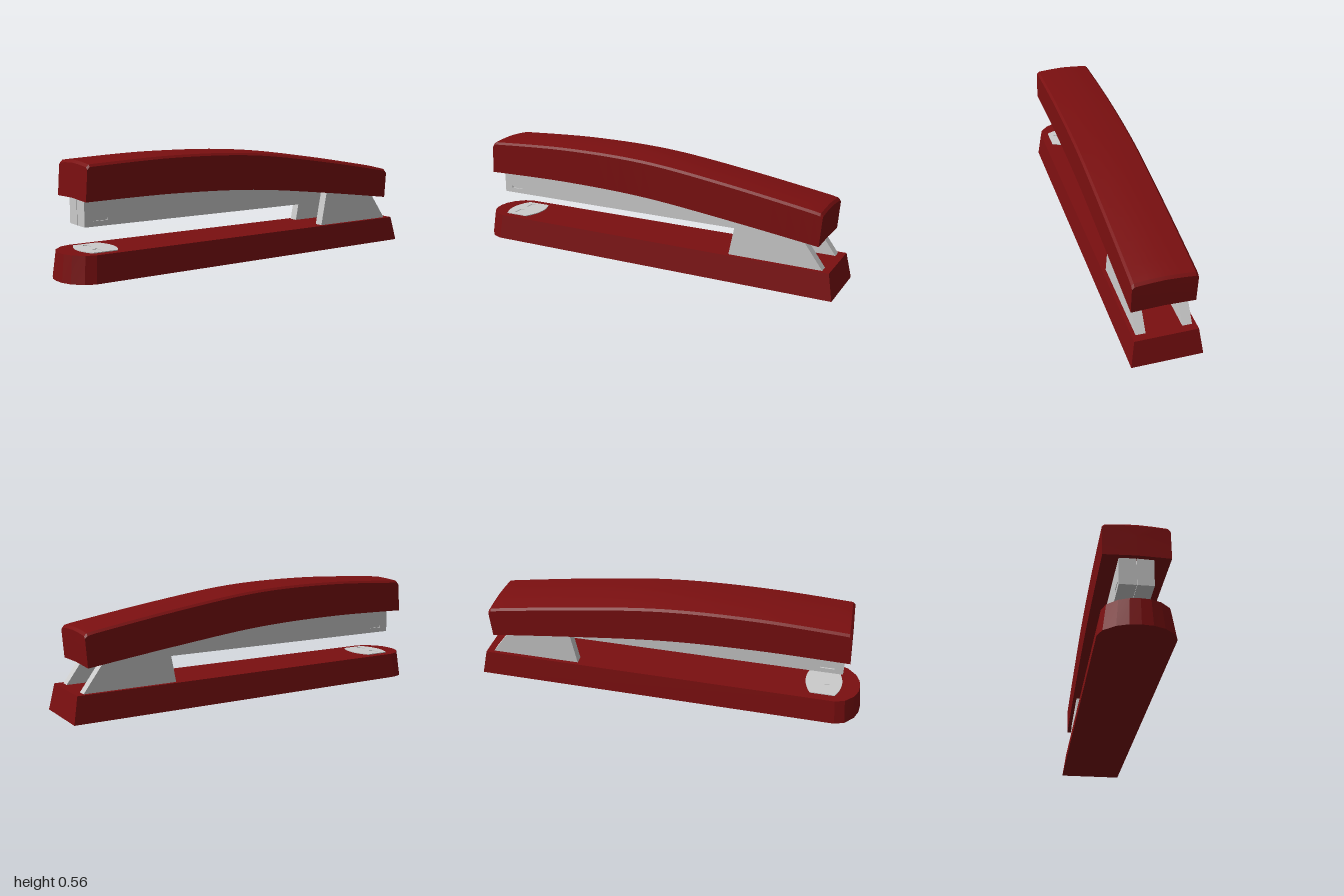
import * as THREE from 'three';
import { toCreasedNormals } from 'three/addons/utils/BufferGeometryUtils.js';

const red = new THREE.MeshStandardMaterial({ color: 0x7a0f10 });
const grey = new THREE.MeshStandardMaterial({ color: 0xcccccc });

function part(name, geometry, material) {
  const mesh = new THREE.Mesh(geometry, material);
  mesh.name = name;
  return mesh;
}

// Skin over equal rings of [x, y, z] points, closed with fan caps.
function loft(rings, crease) {
  const n = rings[0].length;
  const points = rings.flat();
  const index = [];
  for (let i = 0; i < rings.length - 1; i++) {
    for (let j = 0; j < n; j++) {
      const k = (j + 1) % n;
      const a = i * n + j, b = i * n + k;
      index.push(a, b, b + n, a, b + n, a + n);
    }
  }
  [0, rings.length - 1].forEach((r, end) => {
    const centre = points.length;
    points.push([0, 1, 2].map((c) => rings[r].reduce((s, p) => s + p[c], 0) / n));
    for (let j = 0; j < n; j++) {
      const a = r * n + j, b = r * n + (j + 1) % n;
      index.push(centre, ...(end ? [a, b] : [b, a]));
    }
  });
  const g = new THREE.BufferGeometry();
  g.setAttribute('position', new THREE.Float32BufferAttribute(points.flat(), 3));
  g.setIndex(index);
  return toCreasedNormals(g, crease);
}

// Side profile in (z, y), extruded across x from x0 to x1.
function extrudeAcross(shape, x0, x1) {
  const g = new THREE.ExtrudeGeometry(shape, { depth: x1 - x0, bevelEnabled: false });
  return g.rotateY(-Math.PI / 2).translate(x1, 0, 0);
}

function polygon(points, Type = THREE.Shape) {
  return new Type(points.map(([a, b]) => new THREE.Vector2(a, b)));
}

function rectangle(x0, y0, x1, y1) {
  return polygon([[x0, y0], [x1, y0], [x1, y1], [x0, y1]], THREE.Path);
}

// Interpolates evenly along the cover, t = 0 at the back, 1 at the front.
function curve(points) {
  const c = new THREE.SplineCurve(points.map(([z, y]) => new THREE.Vector2(z, y)));
  return (t) => c.getPoint(t);
}
const coverTop = curve([[-0.93, 0.415], [-0.47, 0.491], [-0.01, 0.55], [0.45, 0.563], [0.905, 0.545]]);
const coverBottom = curve([[-0.92, 0.248], [-0.46, 0.308], [0, 0.358], [0.46, 0.375], [0.915, 0.37]]);

function createBase() {
  const half = [[0.05, 0.995], [0.1, 0.975], [0.15, 0.93], [0.168, 0.88], [0.168, -1]];
  const outline = [[0, 1], ...half, ...half.slice().reverse().map(([x, z]) => [-x, z])];
  const bottom = outline.map(([x, z]) => [x, 0, z]);
  const top = outline.map(([x, z]) => [x * 0.89, 0.128, z * 0.98 + 0.005]);
  return part('base', loft([bottom, top], 0.15), red);
}

function createCover() {
  const steps = 28;
  const ring = (t, drop, inset) => {
    const top = coverTop(t), low = coverBottom(t);
    const y = top.y - drop, z = top.x + inset;
    const right = [[0.15, y - 0.02], [0.139, y - 0.009], [0.07, y - 0.003]];
    return [
      [-0.15, low.y, low.x], [0, low.y + 0.005, low.x], [0.15, low.y, low.x],
      ...right.map(([x, h]) => [x, h, z]),
      [0, y, z],
      ...right.reverse().map(([x, h]) => [-x, h, z]),
    ];
  };
  // The first and last rings drop the top edge to form the end bevels.
  const rings = [ring(0, 0.012, 0)];
  for (let i = 0; i <= steps; i++) {
    const inset = i === 0 ? 0.012 : i === steps ? -0.012 : 0;
    rings.push(ring(i / steps, 0, inset));
  }
  rings.push(ring(1, 0.012, 0));
  return part('cover', loft(rings, 0.3), red);
}

function createMagazine() {
  const group = new THREE.Group();
  group.name = 'magazine';
  const profile = () => {
    const points = [[-0.9, 0.245], [0.89, 0.245]];
    for (let i = 12; i >= 0; i--) {
      const p = coverBottom(i / 12);
      points.push([THREE.MathUtils.clamp(p.x, -0.9, 0.89), p.y + 0.015]);
    }
    return polygon(points);
  };
  for (const side of [-1, 1]) {
    // Two halves leave a fine seam down the front.
    const core = side < 0 ? [-0.07, -0.002] : [0.002, 0.07];
    const wall = side < 0 ? [-0.077, -0.07] : [0.07, 0.077];
    const slotted = profile();
    slotted.holes.push(rectangle(0.775, 0.27, 0.845, 0.281));
    group.add(part('magazineCore', extrudeAcross(profile(), ...core), grey));
    group.add(part('magazineWall', extrudeAcross(slotted, ...wall), grey));
  }
  // Seam backing
  const seam = new THREE.BoxGeometry(0.004, 0.1, 0.8).translate(0, 0.3, 0.484);
  group.add(part('magazineSeam', seam, grey));
  return group;
}

function createBrackets() {
  const group = new THREE.Group();
  group.name = 'hingeBrackets';
  const shape = polygon([[-0.94, 0.125], [-0.47, 0.125], [-0.507, 0.315], [-0.83, 0.275]]);
  for (const x of [-0.131, 0.085]) {
    group.add(part('hingeBracket', extrudeAcross(shape, x, x + 0.046), grey));
  }
  return group;
}

function createAnvil() {
  // Curved plate drawn in (x, -z), then laid flat on the base.
  const shape = new THREE.Shape();
  shape.moveTo(-0.108, -0.865);
  shape.quadraticCurveTo(0, -0.925, 0.108, -0.865);
  shape.lineTo(0.108, -0.74);
  shape.quadraticCurveTo(0, -0.68, -0.108, -0.74);
  for (const x of [-0.054, 0.054]) {
    shape.holes.push(rectangle(x - 0.027, -0.833, x + 0.027, -0.807));
  }
  const g = new THREE.ExtrudeGeometry(shape, { depth: 0.008, bevelEnabled: false, curveSegments: 10 });
  g.rotateX(-Math.PI / 2).translate(0, 0.124, 0);
  const group = new THREE.Group();
  group.name = 'anvil';
  group.add(part('anvilPlate', g, grey));
  // Slot floors
  for (const x of [-0.054, 0.054]) {
    const floor = new THREE.BoxGeometry(0.054, 0.004, 0.026).translate(x, 0.127, 0.82);
    group.add(part('anvilSlotFloor', floor, grey));
  }
  return group;
}

export function createModel() {
  const model = new THREE.Group();
  model.name = 'stapler';
  model.add(createBase(), createCover(), createMagazine(), createBrackets(), createAnvil());
  return model;
}
